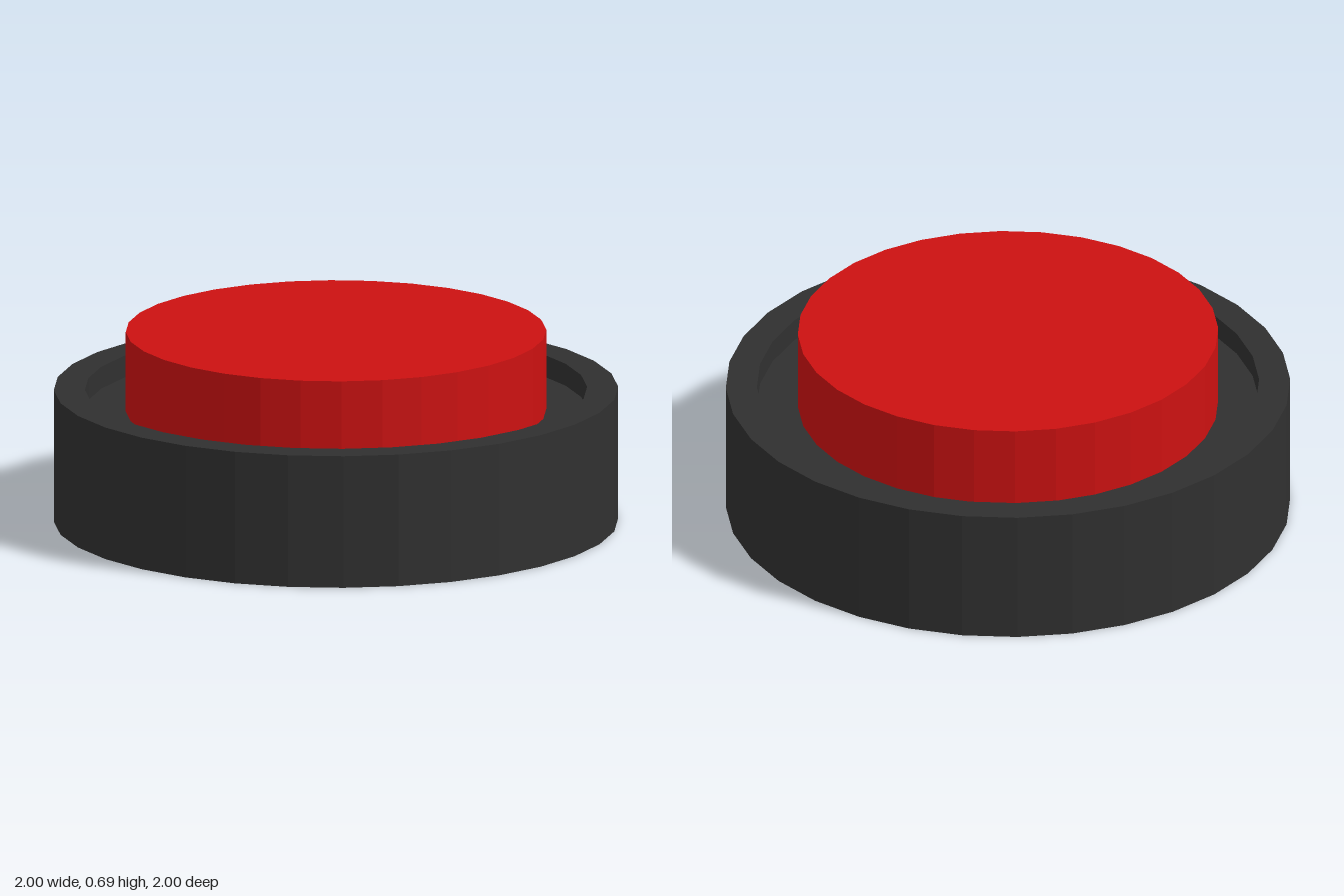
import * as THREE from 'three';

const SIDES = 32;

// Faceted turned part from [radius, height] pairs, listed bottom centre to top centre
function turned(name, profile, color) {
  const points = profile.map(([r, y]) => new THREE.Vector2(r, y));
  const material = new THREE.MeshStandardMaterial({ color, flatShading: true });
  const mesh = new THREE.Mesh(new THREE.LatheGeometry(points, SIDES), material);
  mesh.name = name;
  return mesh;
}

export function createModel() {
  const group = new THREE.Group();
  group.name = 'pushButton';

  // Dark housing: solid underside, raised rim and a shallow recess
  const floorY = 0.4;
  group.add(turned('housing', [
    [0, 0], [1, 0], [1, 0.48], [0.89, 0.48], [0.89, floorY], [0, floorY],
  ], 0x303030));

  // Red cap standing on the recess floor
  const capTop = 0.69;
  const capHeight = capTop - floorY;
  const cap = new THREE.Mesh(
    new THREE.CylinderGeometry(0.745, 0.745, capHeight, SIDES),
    new THREE.MeshStandardMaterial({ color: 0xcc1111, flatShading: true })
  );
  cap.name = 'buttonCap';
  cap.position.y = floorY + capHeight / 2;
  group.add(cap);

  return group;
}
